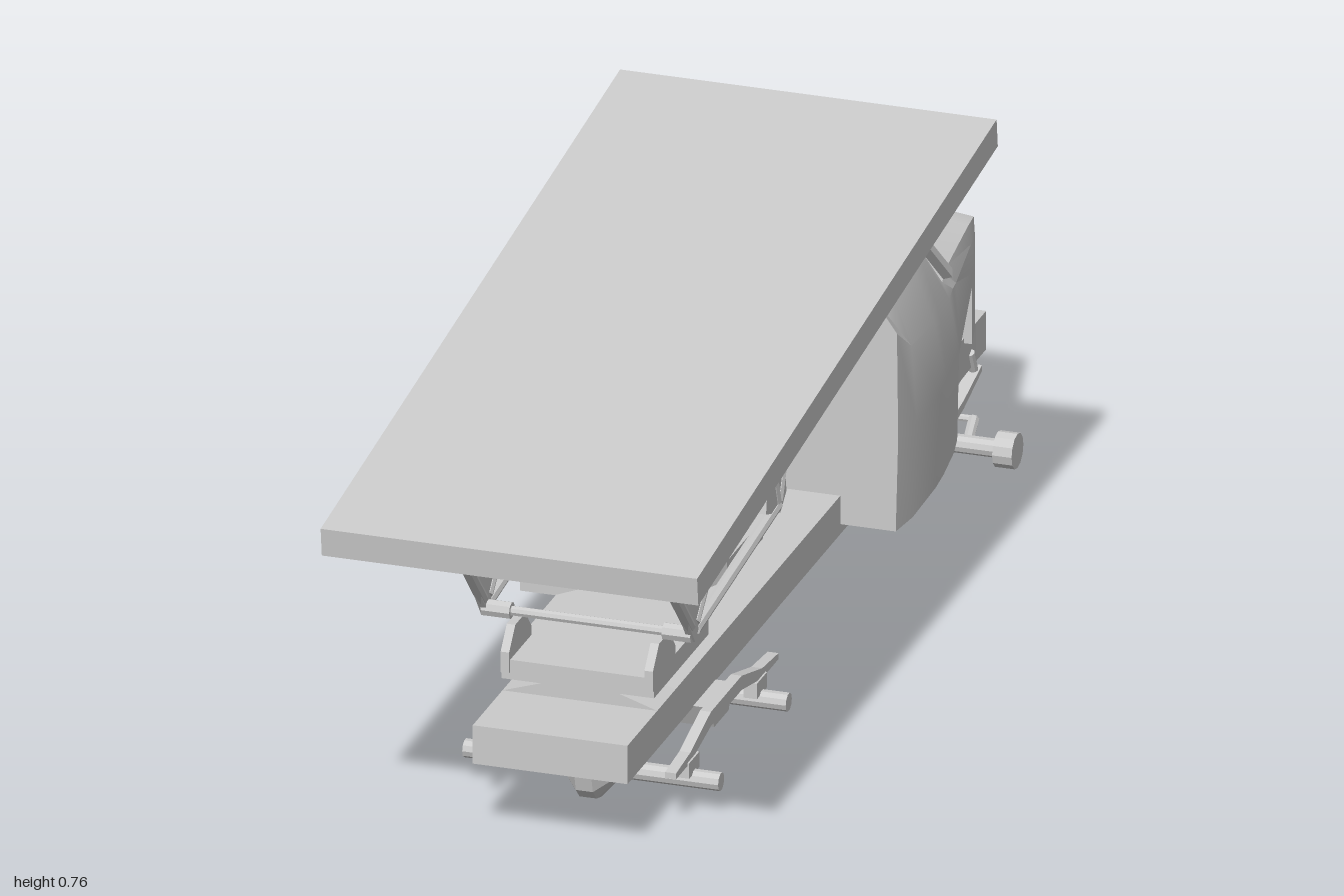
import * as THREE from 'three';
import { toCreasedNormals } from 'three/addons/utils/BufferGeometryUtils.js';

const flat = new THREE.MeshStandardMaterial({ color: 0xcccccc, flatShading: true, side: THREE.DoubleSide });
const smooth = new THREE.MeshStandardMaterial({ color: 0xcccccc, side: THREE.DoubleSide });

export function createModel() {
  const model = new THREE.Group();

  const add = (name, geo, x = 0, y = 0, z = 0, mat = flat) => {
    const m = new THREE.Mesh(geo, mat);
    m.name = name;
    m.position.set(x, y, z);
    model.add(m);
    return m;
  };
  // box given by its min and max on each axis
  const box = (name, x0, x1, y0, y1, z0, z1) =>
    add(name, new THREE.BoxGeometry(x1 - x0, y1 - y0, z1 - z0), (x0 + x1) / 2, (y0 + y1) / 2, (z0 + z1) / 2);
  // round bar between two points
  const rod = (name, a, b, r, sides = 8) => {
    const p = new THREE.Vector3(...a), q = new THREE.Vector3(...b), d = q.clone().sub(p);
    const m = add(name, new THREE.CylinderGeometry(r, r, d.length(), sides));
    m.position.copy(p).add(q).multiplyScalar(0.5);
    m.quaternion.setFromUnitVectors(new THREE.Vector3(0, 1, 0), d.normalize());
    return m;
  };
  // plate with a side outline of [z, y] points, centred on x
  const sidePlate = (name, pts, x, width) => {
    const s = new THREE.Shape(pts.map(([z, y]) => new THREE.Vector2(-z, y)));
    const g = new THREE.ExtrudeGeometry(s, { depth: width, bevelEnabled: false });
    g.translate(0, 0, -width / 2).rotateY(Math.PI / 2);
    return add(name, g, x);
  };
  // plate with a plan outline of [x, z] points
  const planPlate = (name, pts, y0, y1, holes = []) => {
    const v = (list) => list.map(([x, z]) => new THREE.Vector2(x, -z));
    const s = new THREE.Shape(v(pts));
    holes.forEach((h) => s.holes.push(new THREE.Path(v(h))));
    const g = new THREE.ExtrudeGeometry(s, { depth: y1 - y0, bevelEnabled: false });
    return add(name, g.rotateX(-Math.PI / 2), 0, y0);
  };
  const mirrored = (half) => [...half, ...half.map(([x, z]) => [-x, z]).reverse()];

  // Chassis and side locker
  planPlate('chassisFrame', mirrored([[0.127, 0.8], [0.127, -0.3], [0.11, -0.95], [0.11, -1]]), 0.123, 0.188);
  box('sideLocker', -0.29, -0.127, 0.102, 0.226, -0.19, 0.085);

  // Cab and hood: [z, forward bulge at centre, half section from sill to roof]
  const stations = [
    [-0.238, 0, [[0.218, 0.14], [0.222, 0.3], [0.22, 0.475], [0.178, 0.535], [0.15, 0.565]]],
    [-0.3, 0, [[0.225, 0.14], [0.232, 0.3], [0.223, 0.43], [0.178, 0.55], [0.15, 0.574]]],
    [-0.42, 0.02, [[0.222, 0.14], [0.23, 0.3], [0.22, 0.42], [0.17, 0.545], [0.145, 0.57]]],
    [-0.475, 0.035, [[0.217, 0.14], [0.222, 0.3], [0.21, 0.41], [0.168, 0.525], [0.14, 0.545]]],
    [-0.56, 0.035, [[0.205, 0.14], [0.208, 0.3], [0.198, 0.4], [0.185, 0.425], [0.12, 0.438]]],
    [-0.6, 0.01, [[0.197, 0.145], [0.2, 0.3], [0.19, 0.4], [0.175, 0.422], [0.11, 0.432]]],
    [-0.645, 0, [[0.185, 0.27], [0.185, 0.31], [0.18, 0.39], [0.165, 0.416], [0.1, 0.426]]],
    [-0.885, 0, [[0.125, 0.275], [0.125, 0.3], [0.124, 0.35], [0.119, 0.38], [0.07, 0.388]]],
    [-0.886, 0, [[0.125, 0.18], [0.125, 0.3], [0.124, 0.35], [0.119, 0.38], [0.07, 0.388]]],
    [-0.945, 0, [[0.11, 0.18], [0.11, 0.28], [0.11, 0.34], [0.108, 0.37], [0.06, 0.376]]],
  ];
  const pos = [], idx = [], n = 11;
  stations.forEach(([z, bulge, half], i) => {
    const top = [0, half[4][1] + 0.006];
    const ring = [...half, top, ...half.map(([x, y]) => [-x, y]).reverse()];
    ring.forEach(([x, y], j) => {
      const upper = j > 2 && j < 8 ? 1 - Math.abs(x) / 0.2 : 0;
      pos.push(x, y, z - bulge * upper);
      if (i === stations.length - 1) return;
      const a = i * n + j, b = i * n + ((j + 1) % n);
      idx.push(a, a + n, b, b, a + n, b + n);
    });
  });
  const last = (stations.length - 1) * n;
  for (let j = 1; j < n - 1; j++) idx.push(0, j, j + 1, last, last + j + 1, last + j);
  const body = new THREE.BufferGeometry();
  body.setAttribute('position', new THREE.Float32BufferAttribute(pos, 3));
  body.setIndex(idx);
  add('cabBody', toCreasedNormals(body, 0.45), 0, 0, 0, smooth);
  box('engineBay', -0.09, 0.09, 0.17, 0.32, -0.9, -0.59);

  // Roof cap with a pointed front edge, and windscreen pillars
  planPlate('roofCap', [[0.155, -0.25], [0.15, -0.445], [0, -0.49], [-0.15, -0.445], [-0.155, -0.25]], 0.568, 0.584);
  for (const s of [-1, 1]) {
    rod('windscreenPillar', [s * 0.155, 0.572, -0.46], [s * 0.19, 0.435, -0.575], 0.011, 4);
    box('wheelArchBlock', Math.min(s * 0.08, s * 0.125), Math.max(s * 0.08, s * 0.125), 0.19, 0.25, -0.8, -0.7);
  }

  // Axles with faceted differentials
  const diffProfile = [[0, -0.04], [0.02, -0.04], [0.05, -0.014], [0.05, 0.014], [0.02, 0.04], [0, 0.04]]
    .map(([r, h]) => new THREE.Vector2(r, h));
  for (const [z, dx] of [[0.59, 0], [0.26, 0], [-0.79, 0.06]]) {
    rod('axle', [-0.21, 0.053, z], [0.21, 0.053, z], 0.015, 10);
    add('differential', new THREE.LatheGeometry(diffProfile, 12).rotateZ(-Math.PI / 2), dx, 0.051, z);
  }

  for (const s of [-1, 1]) {
    // Rear walking springs and their brackets
    sidePlate('rearSpring', [[0.67, 0.083], [0.6, 0.083], [0.5, 0.104], [0.35, 0.104], [0.25, 0.083], [0.17, 0.083],
      [0.17, 0.093], [0.25, 0.1], [0.35, 0.128], [0.5, 0.128], [0.6, 0.1], [0.67, 0.093]], s * 0.154, 0.018);
    sidePlate('springBracket', [[0.46, 0.085], [0.39, 0.085], [0.37, 0.125], [0.48, 0.125]], s * 0.12, 0.07);
    for (const z of [0.59, 0.26])
      box('axleSeat', s * 0.155 - 0.011, s * 0.155 + 0.011, 0.062, 0.088, z - 0.025, z + 0.025);

    // Front springs and wheel hubs
    sidePlate('frontSpring', [[-0.62, 0.118], [-0.72, 0.082], [-0.79, 0.068], [-0.86, 0.08], [-0.95, 0.108],
      [-0.95, 0.118], [-0.86, 0.094], [-0.79, 0.084], [-0.72, 0.096], [-0.62, 0.13]], s * 0.11, 0.02);
    rod('springShackle', [s * 0.11, 0.108, -0.94], [s * 0.11, 0.15, -0.92], 0.008);
    rod('frontHub', [s * 0.2, 0.053, -0.79], [s * 0.232, 0.053, -0.79], 0.029, 12);
    rod('steeringArm', [s * 0.15, 0.055, -0.79], [s * 0.14, 0.07, -0.85], 0.009);
  }
  rod('trackRod', [-0.145, 0.07, -0.85], [0.145, 0.07, -0.85], 0.006);

  // Gearbox and drive parts under the cab
  sidePlate('gearboxPan', [[-0.46, 0.125], [-0.49, 0.098], [-0.58, 0.098], [-0.62, 0.125]], 0, 0.09);
  rod('silencer', [0.075, 0.105, -0.465], [0.075, 0.108, -0.56], 0.024, 12);
  rod('driveFlange', [0.06, 0.115, -0.585], [0.06, 0.115, -0.62], 0.022, 10);
  rod('frontDriveShaft', [0.06, 0.112, -0.6], [0.06, 0.06, -0.77], 0.009);

  // Pedestal and waisted cradle plate with openings
  const pedestal = new THREE.Shape([[-0.127, 0.188], [0.127, 0.188], [0.035, 0.218], [-0.035, 0.218]]
    .map(([x, y]) => new THREE.Vector2(x, y)));
  add('pedestal', new THREE.ExtrudeGeometry(pedestal, { depth: 0.09, bevelEnabled: false }), 0, 0, 0.565);
  planPlate('cradlePlate', mirrored([[0.125, 0.665], [0.125, 0.4], [0.065, 0.33], [0.065, 0.23], [0.085, 0.19], [0.085, 0.015]]),
    0.213, 0.246, [
      [[0.05, 0.04], [0.05, 0.16], [-0.05, 0.16], [-0.05, 0.04]],
      [[0.035, 0.22], [0.035, 0.34], [-0.035, 0.34], [-0.035, 0.22]],
    ]);

  // Tilting support trestle
  for (const s of [-1, 1]) {
    const x = s * 0.17;
    sidePlate('pivotBase', [[0.67, 0.225], [0.67, 0.26], [0.64, 0.295], [0.59, 0.295], [0.56, 0.26], [0.56, 0.225]], s * 0.118, 0.014);
    sidePlate('pivotGusset', [[0.685, 0.388], [0.615, 0.295], [0.52, 0.388], [0.6, 0.365]], x, 0.012);
    const arc = Array.from({ length: 9 }, (_, i) => {
      const a = (i / 8) * Math.PI;
      return [0.22 + 0.05 * Math.cos(a), 0.37 + 0.055 * Math.sin(a)];
    });
    sidePlate('nodeGusset', [...arc, [0.2, 0.345]], x, 0.012);
    rod('rearStrut', [x, 0.57, 0.85], [x, 0.325, 0.625], 0.01);
    rod('middleStrut', [x, 0.64, 0.29], [x, 0.325, 0.605], 0.01);
    rod('innerStrut', [x, 0.64, 0.3], [x, 0.365, 0.205], 0.01);
    rod('frontStrut', [x, 0.655, 0.08], [x, 0.365, 0.2], 0.01);
    rod('lowerRail', [x, 0.31, 0.6], [x, 0.358, 0.2], 0.01);
    rod('pivotSleeve', [s * 0.125, 0.307, 0.615], [s * 0.172, 0.307, 0.615], 0.014);
  }
  rod('pivotBar', [-0.17, 0.307, 0.615], [0.17, 0.307, 0.615], 0.008);
  rod('nodeBar', [-0.17, 0.358, 0.2], [0.17, 0.358, 0.2], 0.009);

  // Sloping platform
  const deck = add('platform', new THREE.BoxGeometry(0.618, 0.048, 1.472), 0, 0.645, 0.268);
  deck.rotation.x = 0.124;

  return model;
}
